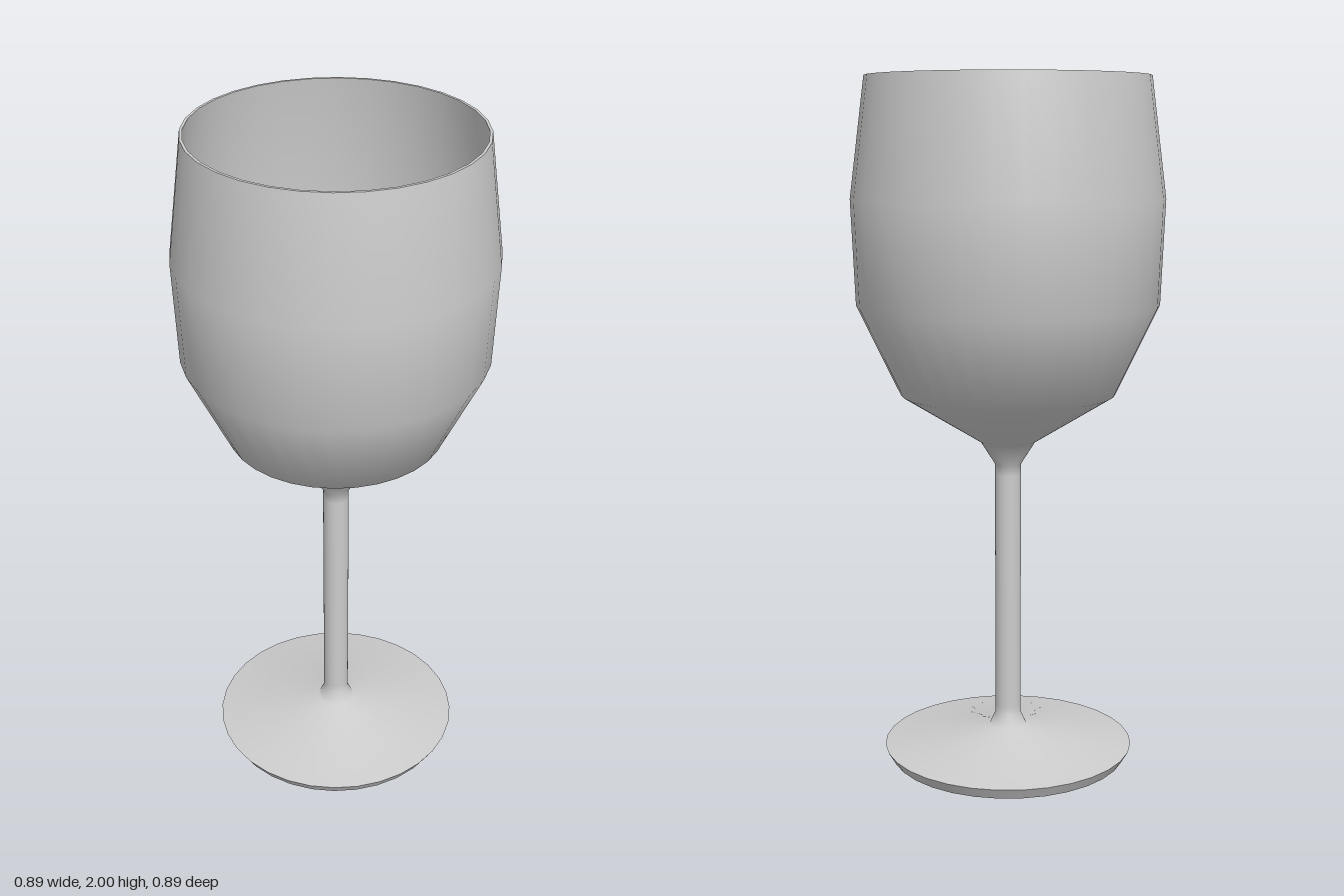
import * as THREE from 'three';

const SIDES = 32;

export function createModel() {
  const glass = new THREE.MeshStandardMaterial({ color: 0xcccccc });
  glass.name = 'pale grey glass';
  const group = new THREE.Group();
  group.name = 'wineGlass';

  // Each profile is [radius, height] pairs; it turns smoothly and ends in a sharp edge.
  const turn = (name, profile) => {
    const points = profile.map(([r, y]) => new THREE.Vector2(r, y));
    const mesh = new THREE.Mesh(new THREE.LatheGeometry(points, SIDES), glass);
    mesh.name = name;
    group.add(mesh);
  };

  // Foot: flat underside, bevelled edge, shallow cone flaring into the stem
  turn('footUnderside', [[0, 0], [0.35, 0]]);
  turn('footEdge', [[0.35, 0], [0.357, 0.012], [0.37, 0.034]]);
  turn('footTop', [[0.37, 0.034], [0.055, 0.087], [0.038, 0.125], [0.038, 0.15]]);

  // Stem
  turn('stem', [[0.038, 0.15], [0.038, 0.86]]);

  // Bowl outside, from the neck up to the rim
  turn('bowlOutside', [
    [0.038, 0.86], [0.038, 0.89], [0.08, 0.957], [0.311, 1.1],
    [0.435, 1.36], [0.447, 1.66], [0.403, 2],
  ]);

  // Rim
  turn('rim', [[0.403, 2], [0.395, 2]]);

  // Bowl inside and its small flat floor
  turn('bowlInside', [
    [0.395, 2], [0.438, 1.66], [0.426, 1.363], [0.304, 1.108],
    [0.075, 0.967], [0.042, 0.915],
  ]);
  turn('bowlFloor', [[0.042, 0.915], [0, 0.915]]);

  return group;
}
